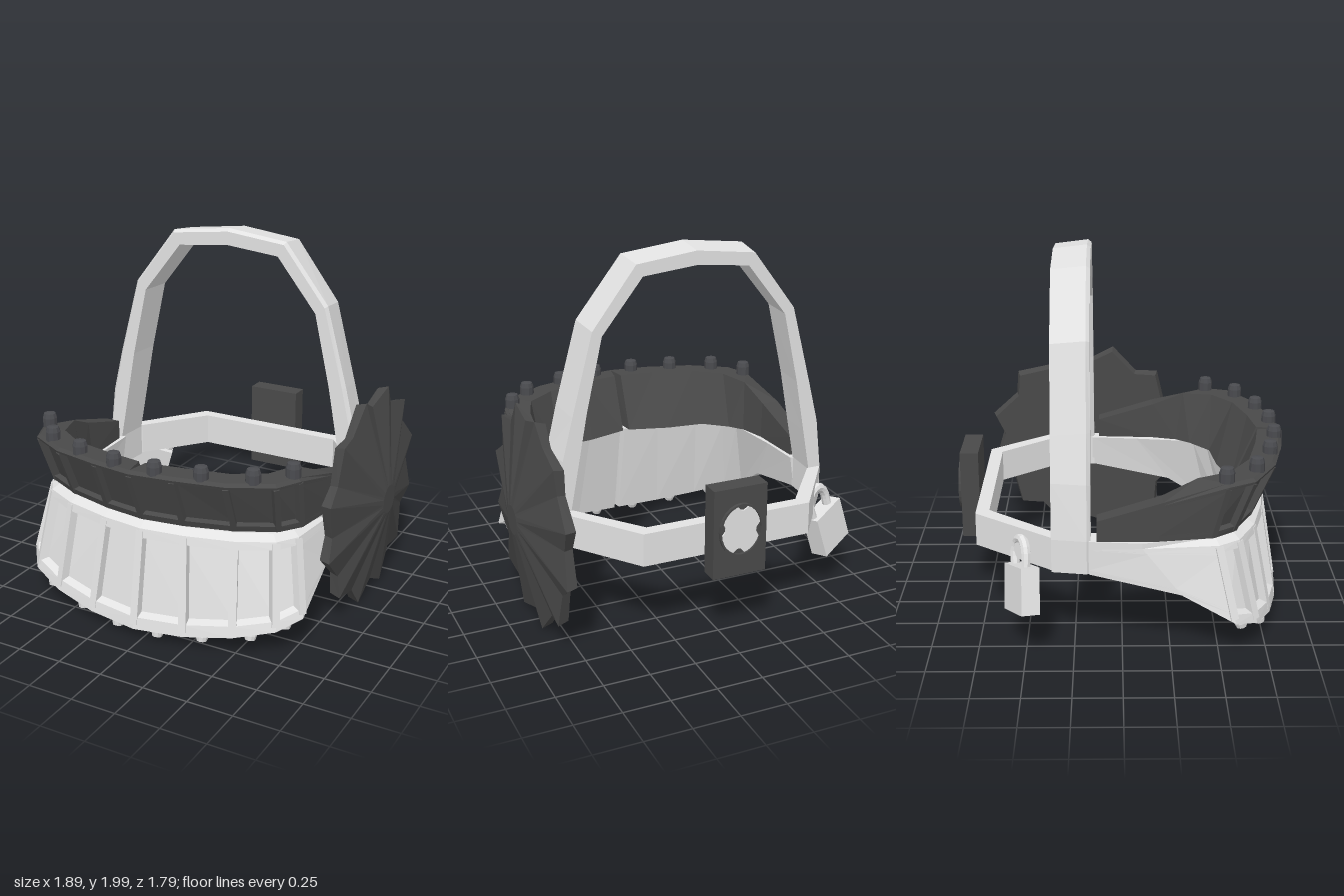
import * as THREE from 'three';

const mat = (name, color) => {
  const m = new THREE.MeshStandardMaterial({ color, flatShading: true });
  m.name = name;
  return m;
};
const CX = -0.04; // symmetry plane of the frame
const V = (x, y, z) => new THREE.Vector3(x, y, z);

// Solid skinned over a row of cross-sections on one half of the frame, s = side.
// Corners 0 to 3 of a section also close the ends.
function shellGeometry(sections, s) {
  const pos = [], n = sections[0].length;
  const tri = (a, b, c) => {
    for (const p of s > 0 ? [a, b, c] : [a, c, b]) pos.push(p.x * s, p.y, p.z);
  };
  for (let i = 0; i + 1 < sections.length; i++) {
    const A = sections[i], B = sections[i + 1];
    for (let j = 0; j < n; j++) {
      const k = (j + 1) % n;
      tri(A[j], B[j], A[k]);
      tri(A[k], B[j], B[k]);
    }
  }
  const F = sections[0], L = sections[sections.length - 1];
  tri(F[0], F[1], F[2]); tri(F[0], F[2], F[3]);
  tri(L[0], L[2], L[1]); tri(L[0], L[3], L[2]);
  const g = new THREE.BufferGeometry();
  g.setAttribute('position', new THREE.Float32BufferAttribute(pos, 3));
  g.computeVertexNormals();
  return g;
}

export function createModel() {
  const light = mat('light steel', 0xe2e2e2);
  const dark = mat('dark iron', 0x494949);
  const boltMat = mat('bolt iron', 0x4a4b4f);
  const root = new THREE.Group();
  root.name = 'jawHarness';
  const frame = new THREE.Group();
  frame.name = 'frame';
  frame.position.x = CX;
  root.add(frame);

  const add = (parent, name, geo, material, x = 0, y = 0, z = 0) => {
    const m = new THREE.Mesh(geo, material);
    m.name = name;
    m.position.set(x, y, z);
    parent.add(m);
    return m;
  };

  // Rectangular bar from a to b whose depth follows the outward angle
  const bar = (parent, name, a, b, w, d, angle, s, material) => {
    const A = V(a.x * s, a.y, a.z), B = V(b.x * s, b.y, b.z);
    const y = B.clone().sub(A), len = y.length();
    y.normalize();
    const x = y.clone().cross(V(Math.sin(angle) * s, 0, Math.cos(angle))).normalize();
    const z = x.clone().cross(y);
    const m = add(parent, name, new THREE.BoxGeometry(w, len, d), material);
    m.quaternion.setFromRotationMatrix(new THREE.Matrix4().makeBasis(x, y, z));
    m.position.copy(A.add(B).multiplyScalar(0.5));
  };

  const angles = [0, 0.15, 0.4, 0.8, 1.15, 1.57, 1.57];
  const inset = (p, i, t) => V(p.x - Math.sin(angles[i]) * t, p.y, p.z - Math.cos(angles[i]) * t);
  const innerWall = (list, t) => list.map((p, i) => {
    const q = inset(p, i, t);
    q.x = Math.max(q.x, 0.015);
    return q;
  });

  // A jaw: two half shells with sunken panels between rails and ribs
  const jaw = (name, top, bottom, innerTop, innerBottom, o, material) => {
    const g = new THREE.Group();
    g.name = name;
    frame.add(g);
    const edge = top.map(p => V(p.x, p.y - o.bevelY, p.z));
    const at = (i, t, d) => inset(bottom[i].clone().lerp(edge[i], t), i, d);
    const section = (i, depth) => [
      i < 5 ? inset(top[i], i, o.bevel) : top[i], innerTop[i], innerBottom[i], bottom[i],
      at(i, o.low, 0), at(i, o.low + 0.03, depth), at(i, o.high - 0.03, depth), at(i, o.high, 0), edge[i]];
    const sections = [0, 1, 2, 3, 4].map(i => section(i, o.depth));
    sections.push(section(4, 0), section(5, 0), section(6, 0));
    for (const s of [1, -1]) {
      add(g, name + 'Half', shellGeometry(sections, s), material);
      for (let i = s > 0 ? 0 : 1; i < 5; i++) {
        const d = o.depth / 2 + 0.004;
        bar(g, 'rib', at(i, 0.04, d), at(i, 0.97, d), o.rib, o.depth + 0.012, angles[i], s, material);
      }
    }
    return g;
  };

  // Upper jaw, flaring outward to the top
  const upper = jaw('upperJaw',
    [V(0, 0.97, 0.89), V(0.23, 0.97, 0.86), V(0.5, 0.965, 0.795), V(0.72, 0.96, 0.67), V(0.785, 0.955, 0.53), V(0.81, 0.87, 0.2), V(0.81, 0.77, -0.13)],
    [V(0, 0.66, 0.77), V(0.23, 0.66, 0.74), V(0.49, 0.66, 0.67), V(0.69, 0.66, 0.57), V(0.77, 0.66, 0.46), V(0.81, 0.66, 0.18), V(0.81, 0.66, -0.13)],
    [V(0.02, 0.97, 0.75), V(0.22, 0.97, 0.72), V(0.46, 0.965, 0.66), V(0.62, 0.96, 0.55), V(0.68, 0.95, 0.38), V(0.71, 0.87, 0.2), V(0.72, 0.77, -0.13)],
    [V(0.02, 0.66, 0.62), V(0.25, 0.66, 0.555), V(0.47, 0.66, 0.53), V(0.6, 0.66, 0.42), V(0.66, 0.66, 0.34), V(0.7, 0.66, 0.19), V(0.72, 0.66, -0.13)],
    { bevel: 0.02, bevelY: 0.015, low: 0.12, high: 0.95, depth: 0.035, rib: 0.03 }, dark);

  // Lower jaw, flaring outward to the bottom and narrowing into the side straps
  const lTop = [V(0, 0.645, 0.79), V(0.24, 0.645, 0.76), V(0.5, 0.645, 0.695), V(0.69, 0.645, 0.6), V(0.765, 0.645, 0.49), V(0.81, 0.65, 0.1), V(0.81, 0.66, -0.17)];
  const lBot = [V(0, 0.07, 0.88), V(0.28, 0.085, 0.85), V(0.54, 0.12, 0.79), V(0.745, 0.165, 0.7), V(0.84, 0.21, 0.58), V(0.83, 0.37, 0.3), V(0.81, 0.48, -0.17)];
  const lower = jaw('lowerJaw', lTop, lBot, innerWall(lTop, 0.11), innerWall(lBot, 0.085),
    { bevel: 0.045, bevelY: 0.03, low: 0.12, high: 0.91, depth: 0.04, rib: 0.042 }, light);

  // Bolts above the upper jaw, studs below the lower jaw
  const boltProfile = [[0, 0], [0.04, 0], [0.04, 0.05], [0.032, 0.075], [0, 0.08]].map(p => new THREE.Vector2(...p));
  const boltGeo = new THREE.LatheGeometry(boltProfile, 10);
  [[0.12, 0.83, 0.06, 0.82], [0.36, 0.78, 0.08, 0.78], [0.6, 0.685, 0.12, 0.71], [0.74, 0.52, 0.17, 0.6]].forEach(([u, z, y, zl]) => {
    for (const s of [1, -1]) {
      add(upper, 'bolt', boltGeo, boltMat, u * s, 0.955, z);
      const stud = add(lower, 'stud', boltGeo, light, u * s * 1.02, y + 0.055, zl);
      stud.rotation.set(Math.PI - 0.25, 0, 0);
      stud.scale.set(0.85, 1, 0.85);
    }
  });

  // Overhead arch with a chamfered front edge, the outside tapering to the rear
  const outer = [[0, 2], [0.345, 1.96], [0.595, 1.64], [0.715, 1.2], [0.775, 0.95], [0.81, 0.66], [0.81, 0.48]];
  const inner = [[0, 1.91], [0.302, 1.88], [0.53, 1.595], [0.62, 1.2], [0.675, 0.9], [0.72, 0.66], [0.72, 0.48]];
  const arch = outer.map(([ox, oy], i) => {
    const [ix, iy] = inner[i];
    return [V(ox, oy, -0.18), V(ox * 0.965, oy - (oy > 1 ? 0.02 : 0), -0.36), V(ix * 0.985, iy - (iy > 1 ? 0.005 : 0), -0.36),
      V(ix, iy, -0.16), V(ox + (ix - ox) * 0.18, oy + (iy - oy) * 0.18, -0.16)];
  });
  // Strap around the back of the head
  const strap = [[0.78, -0.36, 0.7, -0.36], [0.475, -0.77, 0.43, -0.7], [0, -0.77, 0, -0.7]].map(
    ([ox, oz, ix, iz]) => [V(ox, 0.67, oz), V(ix, 0.67, iz), V(ix, 0.49, iz), V(ox, 0.49, oz)]);
  for (const s of [1, -1]) {
    add(frame, 'overheadArch', shellGeometry(arch, s), light);
    add(frame, 'backStrap', shellGeometry(strap, s), light);
  }

  // Toothed side wheel: fan of ridges rising to a small hub
  const wheel = new THREE.Group();
  wheel.name = 'sideWheel';
  wheel.position.set(0, 0.6, -0.2);
  root.add(wheel);
  const wp = [];
  const ring = (r, deg, x) => V(x, r * Math.cos(deg * Math.PI / 180), -r * Math.sin(deg * Math.PI / 180));
  const face = (a, b, c) => [a, b, c].forEach(q => wp.push(q.x, q.y, q.z));
  for (let i = 0; i < 24; i++) {
    const corner = k => [k % 2 ? 0.53 : 0.608, 15 + 30 * Math.floor(k / 2) + (k % 2 ? 11 : 0), k % 2 ? 0.838 : 0.85];
    const [r0, a0, x0] = corner(i), [r1, a1, x1] = corner(i + 1);
    const f0 = ring(r0, a0, x0), f1 = ring(r1, a1, x1);
    const b0 = ring(r0 * 0.97, a0, 0.79), b1 = ring(r1 * 0.97, a1, 0.79);
    const h0 = ring(0.08, a0, 0.943), h1 = ring(0.08, a1, 0.943);
    face(h0, f1, f0); face(h0, h1, f1);
    face(V(0.943, 0, 0), h1, h0);
    face(f0, b1, b0); face(f0, f1, b1);
    face(V(0.79, 0, 0), b0, b1);
  }
  const wheelGeo = new THREE.BufferGeometry();
  wheelGeo.setAttribute('position', new THREE.Float32BufferAttribute(wp, 3));
  wheelGeo.computeVertexNormals();
  add(wheel, 'wheelDisc', wheelGeo, dark);
  const axle = add(wheel, 'axle', new THREE.CylinderGeometry(0.1, 0.1, 0.06, 12), dark, 0.77, 0, 0);
  axle.rotation.z = Math.PI / 2;

  // Timer box on the back strap with a notched dial
  const timer = new THREE.Group();
  timer.name = 'timerBox';
  timer.position.set(-0.05, 0.64, 0);
  root.add(timer);
  add(timer, 'timerCase', new THREE.BoxGeometry(0.3, 0.49, 0.1), dark, 0, 0, -0.83);
  const rim = new THREE.Shape().absellipse(0, 0, 0.122, 0.145, 0, Math.PI * 2);
  rim.holes.push(new THREE.Path().absellipse(0, 0, 0.112, 0.135, 0, Math.PI * 2));
  add(timer, 'dialRim', new THREE.ExtrudeGeometry(rim, { depth: 0.018, bevelEnabled: false, curveSegments: 12 }), dark, 0, 0.015, -0.898);
  const dial = [];
  for (let i = 0; i < 32; i++) {
    const a = i / 32 * Math.PI * 2, k = i % 8 < 2 ? 0.8 : 1;
    dial.push(new THREE.Vector2(Math.cos(a) * 0.11 * k, Math.sin(a) * 0.133 * k));
  }
  add(timer, 'dial', new THREE.ExtrudeGeometry(new THREE.Shape(dial), { depth: 0.009, bevelEnabled: false }), light, 0, 0.015, -0.889);

  // Padlock hanging from the strap, its shackle hooked inward
  const lock = new THREE.Group();
  lock.name = 'padlock';
  lock.position.set(-0.785, 0.37, -0.515);
  lock.rotation.set(0, 0.45, -0.3, 'ZYX');
  root.add(lock);
  add(lock, 'lockBody', new THREE.BoxGeometry(0.235, 0.24, 0.1), light);
  const bow = new THREE.CatmullRomCurve3([V(-0.055, 0.1, 0), V(-0.055, 0.2, 0), V(-0.02, 0.25, 0), V(0.055, 0.25, 0), V(0.09, 0.2, 0), V(0.09, 0.1, 0)]);
  add(lock, 'shackle', new THREE.TubeGeometry(bow, 14, 0.025, 8), light);

  return root;
}
